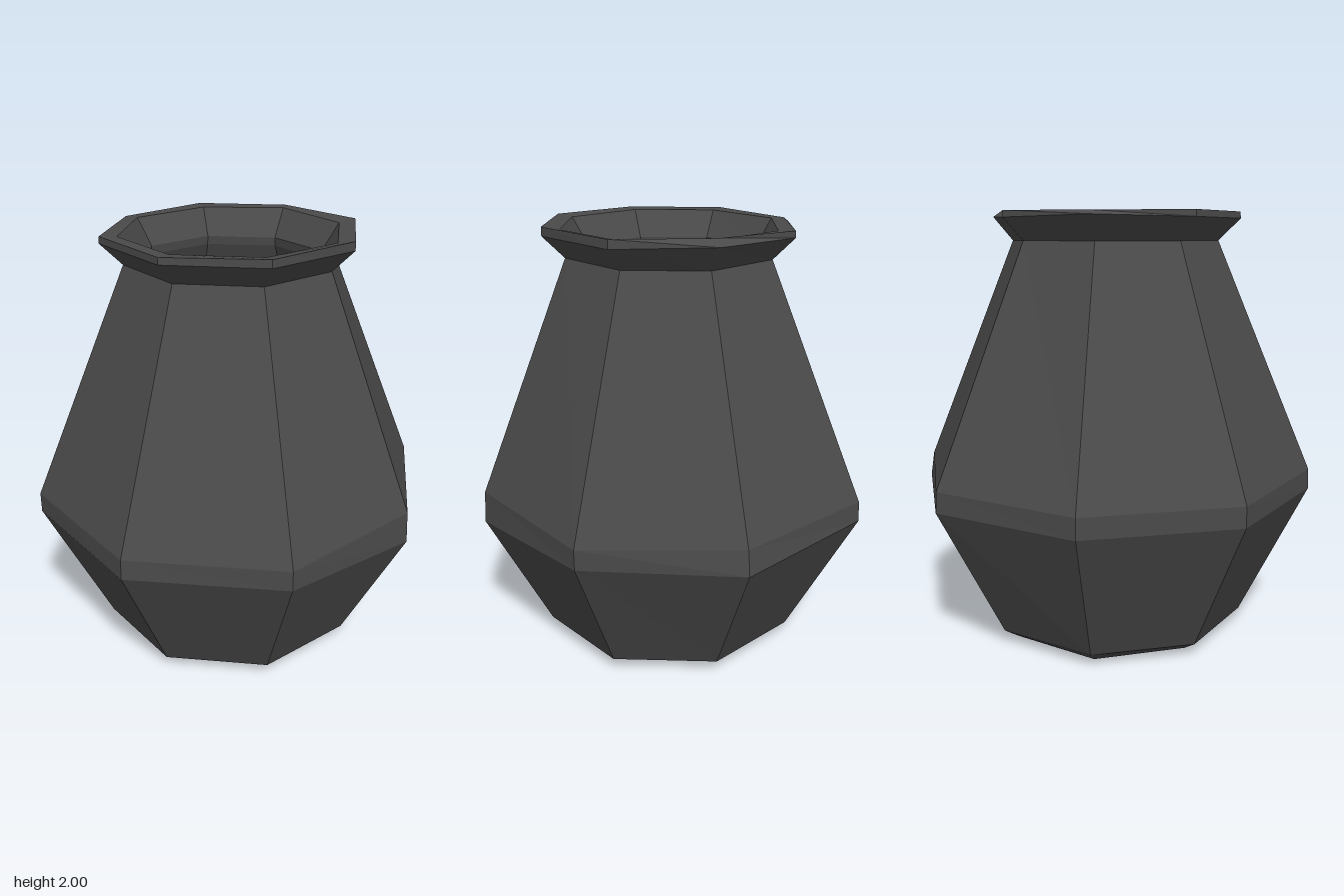
import * as THREE from 'three';

const SIDES = 8;

// Eight-sided ring profile; each point is [radius, height].
// tweaks: 'profileIndex:corner' -> [radius, height]; corners run +z, +x+z, +x, ...
function facetedShell(name, profile, material, tweaks = {}) {
  const points = profile.map(([r, y]) => new THREE.Vector2(r, y));
  const geometry = new THREE.LatheGeometry(points, SIDES);
  const position = geometry.attributes.position;
  for (let i = 0; i < position.count; i++) {
    const row = i % profile.length;
    const corner = Math.floor(i / profile.length) % SIDES;
    const tweak = tweaks[`${row}:${corner}`];
    if (!tweak) continue;
    const angle = (corner / SIDES) * Math.PI * 2;
    position.setXYZ(i, tweak[0] * Math.sin(angle), tweak[1], tweak[0] * Math.cos(angle));
  }
  geometry.computeVertexNormals();
  const mesh = new THREE.Mesh(geometry, material);
  mesh.name = name;
  return mesh;
}

export function createModel() {
  const vase = new THREE.Group();
  vase.name = 'vase';
  const clay = new THREE.MeshStandardMaterial({ color: 0x4a4a4a });
  clay.name = 'dark grey clay';
  clay.flatShading = true;

  // Outer body: base, bevelled foot, belt and shoulder, with worn corners
  vase.add(facetedShell('body', [
    [0, 0.015], [0.56, 0.015], [0.63, 0.06], [0.94, 0.695], [0.94, 0.79], [0.49, 1.86],
  ], clay, {
    '1:6': [0.545, 0.0], '1:2': [0.55, 0.015],
    '1:0': [0.56, 0.01], '1:4': [0.55, 0.01],
    '3:2': [0.925, 0.65], '4:2': [0.917, 0.8],
    '3:6': [0.932, 0.695], '4:6': [0.932, 0.79],
    '3:4': [0.948, 0.685], '4:4': [0.93, 0.8],
    '3:0': [0.945, 0.695], '4:0': [0.942, 0.79],
    '3:5': [0.955, 0.695], '4:5': [0.95, 0.79],
  }));

  // Flared rim with chipped back and right corners
  vase.add(facetedShell('rim', [
    [0.49, 1.86], [0.59, 1.96], [0.588, 1.99], [0.51, 1.985], [0.43, 1.86],
  ], clay, {
    '1:4': [0.585, 1.97], '2:4': [0.54, 2.0], '3:4': [0.515, 1.99],
    '1:6': [0.592, 1.968], '2:6': [0.57, 1.985], '3:6': [0.505, 1.985],
    '2:2': [0.59, 2.0], '2:3': [0.588, 2.0], '2:1': [0.588, 1.995],
  }));

  // Hollow inside, following the outer walls down to a flat floor
  vase.add(facetedShell('interior', [
    [0.43, 1.86], [0.435, 1.82], [0.87, 0.78], [0.87, 0.71], [0.57, 0.09], [0, 0.09],
  ], clay));

  return vase;
}
